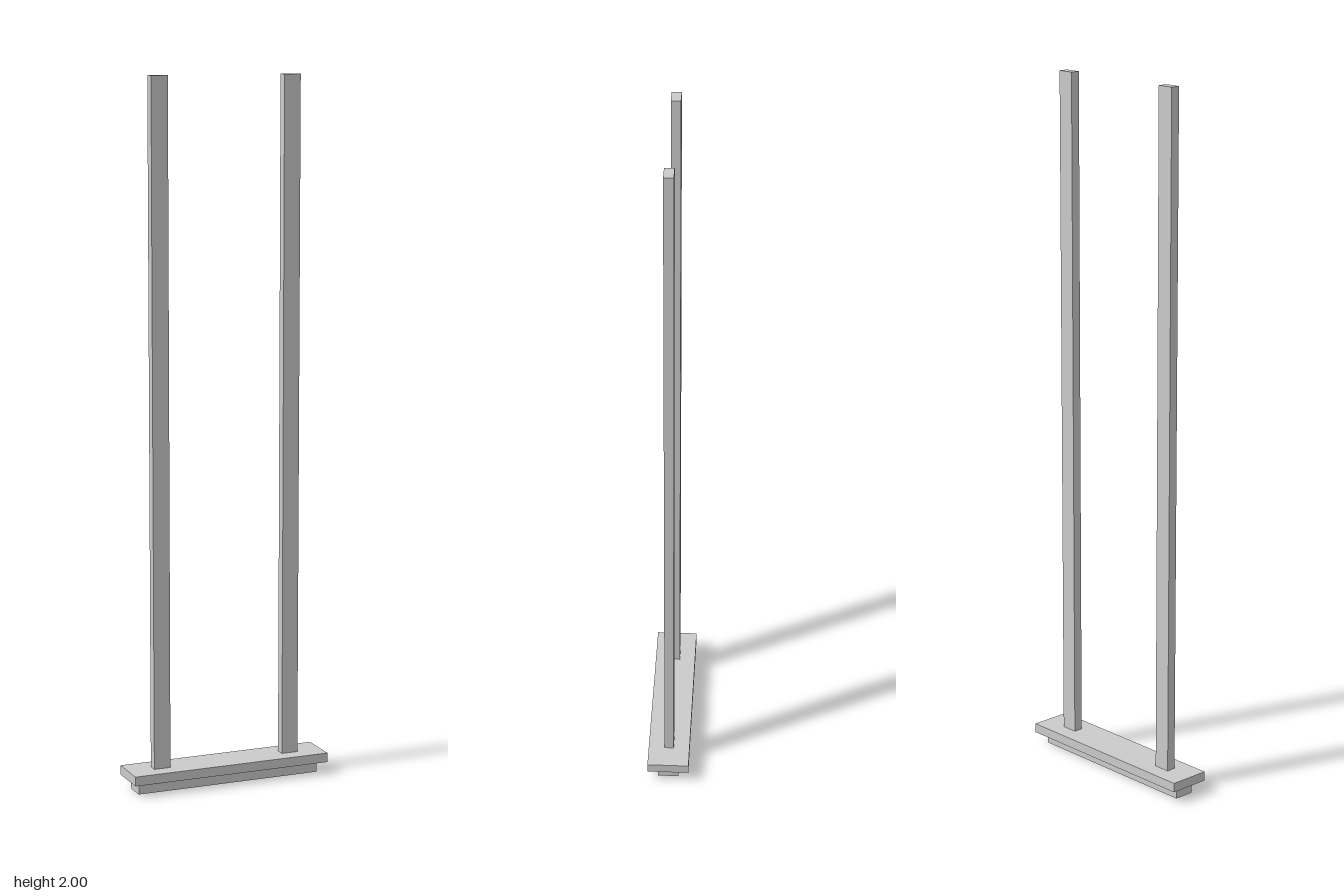
import * as THREE from 'three';

export function createModel() {
  const model = new THREE.Group();
  const material = new THREE.MeshStandardMaterial({ color: 0xcccccc, flatShading: true });

  // Box of given width and depth spanning two heights
  function addBox(name, width, depth, bottom, top, x = 0) {
    const mesh = new THREE.Mesh(new THREE.BoxGeometry(width, top - bottom, depth), material);
    mesh.name = name;
    mesh.position.set(x, (bottom + top) / 2, 0);
    model.add(mesh);
  }

  // Stepped base: narrow foot under a wider plate
  addBox('foot', 0.55, 0.06, 0, 0.035);
  addBox('basePlate', 0.592, 0.12, 0.035, 0.062);

  // Pair of upright posts
  for (const side of [-1, 1]) {
    addBox(side > 0 ? 'leftPost' : 'rightPost', 0.049, 0.027, 0.062, 2, side * 0.197);
  }
  return model;
}
